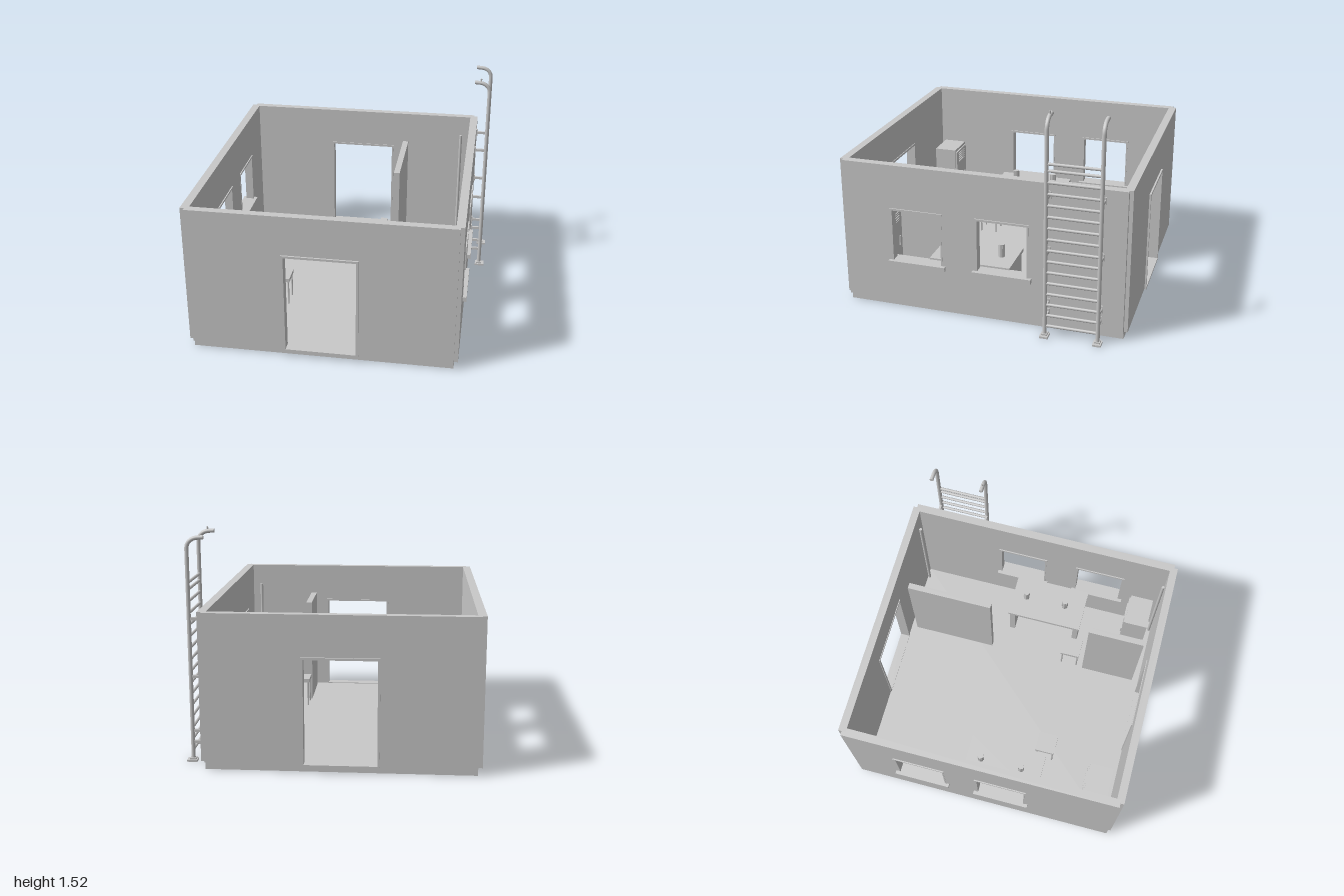
import * as THREE from 'three';

const grey = new THREE.MeshStandardMaterial({ color: 0xc8c8c8 });
grey.name = 'plain grey';

export function createModel() {
  const root = new THREE.Group();
  root.name = 'guardRoom';

  const mesh = (parent, name, geo) => {
    const m = new THREE.Mesh(geo, grey);
    m.name = name;
    parent.add(m);
    return m;
  };
  // box given by its limits on each axis
  const box = (parent, name, x0, x1, y0, y1, z0, z1) => {
    const m = mesh(parent, name, new THREE.BoxGeometry(x1 - x0, y1 - y0, z1 - z0));
    m.position.set((x0 + x1) / 2, (y0 + y1) / 2, (z0 + z1) / 2);
    return m;
  };
  const rod = (parent, name, r, y0, y1, x, z, sides = 12) => {
    const m = mesh(parent, name, new THREE.CylinderGeometry(r, r, y1 - y0, sides));
    m.position.set(x, (y0 + y1) / 2, z);
    return m;
  };
  const group = (name) => {
    const g = new THREE.Group();
    g.name = name;
    root.add(g);
    return g;
  };
  const rect = (path, u0, u1, v0, v1) => {
    path.moveTo(u0, v0).lineTo(u1, v0).lineTo(u1, v1).lineTo(u0, v1).closePath();
    return path;
  };
  // wall slab with rectangular openings
  const wall = (name, u0, u1, depth, openings) => {
    const shape = rect(new THREE.Shape(), u0, u1, 0.052, 1.04);
    openings.forEach((o) => shape.holes.push(rect(new THREE.Path(), ...o)));
    return mesh(root, name, new THREE.ExtrudeGeometry(shape, { depth, bevelEnabled: false }));
  };

  // floor slab
  box(root, 'floorSlab', -0.926, 0.832, 0, 0.052, -0.963, 0.963);

  // end walls with framed doorways
  for (const s of [1, -1]) {
    const side = s > 0 ? 'front' : 'back';
    wall(side + 'Wall', -0.926, 0.832, 0.053, [[-0.29, 0.194, 0.056, 0.758]]).position.z = s > 0 ? 0.935 : -0.988;
    const frame = group(side + 'DoorFrame');
    const z0 = s > 0 ? 0.93 : -1;
    const z1 = z0 + 0.07;
    box(frame, 'jamb', -0.3, -0.285, 0.043, 0.751, z0, z1);
    box(frame, 'jamb', 0.188, 0.203, 0.043, 0.751, z0, z1);
    box(frame, 'lintel', -0.3, 0.203, 0.751, 0.766, z0, z1);
    box(frame, 'threshold', -0.3, 0.203, 0.043, 0.057, z0, z1);
  }

  // side walls with two windows each
  const sides = [
    { name: 'left', x: 0.803, zs: [-0.145, 0.45] },
    { name: 'right', x: -0.955, zs: [-0.447, 0.145] },
  ];
  for (const { name, x, zs } of sides) {
    const w = wall(name + 'Wall', -0.963, 0.963, 0.056, zs.map((z) => [-z - 0.176, -z + 0.176, 0.35, 0.73]));
    w.rotation.y = Math.PI / 2;
    w.position.x = x;
    const mid = x + 0.028;
    for (const z of zs) {
      const win = group(name + 'Window');
      box(win, 'header', mid - 0.036, mid + 0.036, 0.722, 0.736, z - 0.186, z + 0.186);
      box(win, 'sill', mid - 0.054, mid + 0.054, 0.326, 0.358, z - 0.202, z + 0.202);
      for (const e of [-1, 1]) {
        const c = z + e * 0.175;
        box(win, 'jamb', mid - 0.03, mid + 0.03, 0.358, 0.722, c - 0.005, c + 0.005);
      }
    }
  }

  // free-standing partitions
  box(root, 'backPartition', 0.28, 0.323, 0.052, 0.825, -0.89, -0.262);
  box(root, 'frontPartition', 0.28, 0.323, 0.052, 0.825, 0.478, 0.885);

  // vertical pipes against the end walls
  for (const z of [-0.922, 0.922]) rod(root, 'pipe', 0.011, 0.052, 0.89, 0.736, z);

  // desks, each with two ribbed cups
  for (const [x0, x1] of [[0.462, 0.787], [-0.882, -0.556]]) {
    const desk = group('desk');
    const out = x0 > 0 ? x1 - 0.03 : x0 + 0.01;
    box(desk, 'top', x0, x1, 0.345, 0.37, -0.175, 0.39);
    box(desk, 'endPanel', x0 + 0.01, x1 - 0.01, 0.052, 0.345, -0.165, -0.125);
    box(desk, 'endPanel', x0 + 0.01, x1 - 0.01, 0.052, 0.345, 0.34, 0.38);
    box(desk, 'backPanel', out, out + 0.02, 0.2, 0.345, -0.125, 0.34);
    const cx = x0 > 0 ? 0.625 : -0.717;
    for (const cz of [-0.07, 0.236]) {
      rod(desk, 'cup', 0.021, 0.37, 0.463, cx, cz, 16);
      for (let i = 0; i < 8; i++) {
        const a = (i * Math.PI) / 4;
        rod(desk, 'cupRib', 0.003, 0.373, 0.46, cx + 0.021 * Math.cos(a), cz + 0.021 * Math.sin(a), 6);
      }
    }
  }

  // stools
  for (const x of [0.354, -0.447]) {
    const stool = group('stool');
    box(stool, 'seat', x - 0.071, x + 0.071, 0.235, 0.262, 0.293, 0.438);
    for (const dx of [-0.06, 0.06])
      for (const dz of [-0.06, 0.06]) rod(stool, 'leg', 0.006, 0.052, 0.235, x + dx, 0.366 + dz, 8);
  }

  // lockers
  for (const x of [0.509, -0.834]) {
    const locker = group('locker');
    box(locker, 'body', x, x + 0.228, 0.08, 0.62, 0.717, 0.884);
    box(locker, 'door', x + 0.01, x + 0.218, 0.1, 0.6, 0.707, 0.717);
    for (let i = 0; i < 5; i++) {
      const y = 0.505 + i * 0.017;
      box(locker, 'louvre', x + 0.05, x + 0.178, y, y + 0.008, 0.701, 0.707);
    }
    box(locker, 'handle', x + 0.045, x + 0.06, 0.32, 0.39, 0.698, 0.707);
    for (const fx of [x + 0.01, x + 0.193])
      for (const fz of [0.722, 0.87]) box(locker, 'foot', fx, fx + 0.025, 0.052, 0.08, fz, fz + 0.027);
  }

  // roof ladder
  const ladder = group('ladder');
  const railX = 0.942;
  for (const z of [-0.463, -0.815]) {
    const path = new THREE.CurvePath();
    const v = (x, y) => new THREE.Vector3(x, y, z);
    path.add(new THREE.LineCurve3(v(railX, 0.01), v(railX, 1.42)));
    path.add(new THREE.CubicBezierCurve3(v(railX, 1.42), v(railX, 1.46), v(0.91, 1.488), v(0.87, 1.49)));
    path.add(new THREE.LineCurve3(v(0.87, 1.49), v(0.836, 1.492)));
    mesh(ladder, 'rail', new THREE.TubeGeometry(path, 120, 0.0138, 12));
    // end cap of the curved grip
    const cap = mesh(ladder, 'railCap', new THREE.CylinderGeometry(0.0138, 0.0138, 0.006, 12));
    cap.rotation.z = Math.PI / 2;
    cap.position.set(0.836, 1.492, z);
    // foot plate
    box(ladder, 'footPlate', 0.913, 0.981, 0, 0.013, z - 0.028, z + 0.028);
    box(ladder, 'footCollar', 0.921, 0.962, 0.013, 0.024, z - 0.019, z + 0.019);
    // wall brackets
    for (const y of [0.135, 0.21, 0.58, 0.965]) {
      box(ladder, 'bracketArm', 0.859, railX, y - 0.009, y + 0.009, z - 0.008, z + 0.008);
      box(ladder, 'bracketPlate', 0.859, 0.868, y - 0.026, y + 0.026, z - 0.012, z + 0.012);
    }
  }
  rod(ladder, 'gripPin', 0.006, 1.49, 1.52, 0.878, -0.463, 8);
  // rungs, with one extra near the top
  const rungs = Array.from({ length: 15 }, (_, i) => 0.078 + i * 0.077);
  for (const y of [...rungs, 1.2]) {
    const rung = mesh(ladder, 'rung', new THREE.CylinderGeometry(0.01, 0.01, 0.35, 10));
    rung.rotation.x = Math.PI / 2;
    rung.position.set(railX, y, -0.639);
  }

  return root;
}
